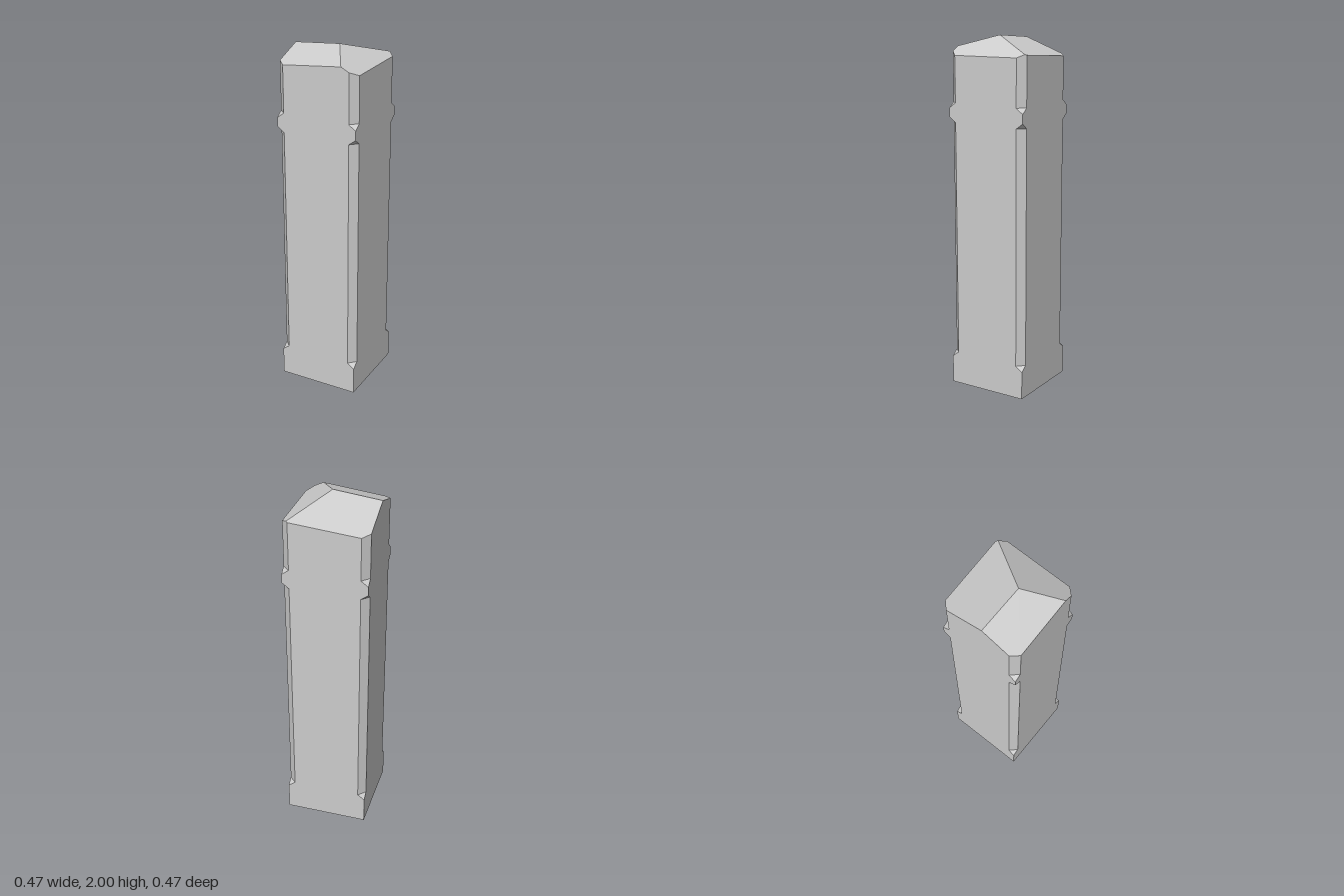
import * as THREE from 'three';

const H = 0.235; // half width of the post
const K = 0.195; // where the corner chamfer starts

// Outline seen from above, counter-clockwise: [x, z, lies on a corner]
const outline = [
  [-H, K, true], [-K, H, true],
  [0.148, H, false],               // front ridge end
  [K, H, true], [H, K, true],
  [H, -K, true], [0.203, -0.227, true], [K, -H, true], // ridge end on back chamfer
  [-K, -H, true], [-H, -K, true],
  [-H, 0.028, false],              // right-hand ridge end
];

// Three sloping facets meet at the peak; the lowest one is the surface
const PEAK = new THREE.Vector3(0.035, 2, 0.035);
const slopes = [[0.083, 0.366], [0.102, -0.358], [-0.508, -0.013]];
const roofY = (x, z) =>
  2 + Math.min(...slopes.map(([a, b]) => a * (x - PEAK.x) + b * (z - PEAK.z)));

// A ring is either square or chamfered at its corners
function ring(y, square) {
  return outline.map(([x, z, corner]) => (square && corner
    ? new THREE.Vector3(Math.sign(x) * H, y, Math.sign(z) * H)
    : new THREE.Vector3(x, y ?? roofY(x, z), z)));
}

// Non-indexed flat geometry, skipping collapsed triangles
function facets(triangles) {
  const solid = triangles.filter(([a, b, c]) => new THREE.Triangle(a, b, c).getArea() > 1e-7);
  const geometry = new THREE.BufferGeometry().setFromPoints(solid.flat());
  geometry.computeVertexNormals();
  return geometry;
}

function band(lower, upper) {
  return lower.flatMap((a, i) => {
    const j = (i + 1) % lower.length;
    return [[a, lower[j], upper[j]], [a, upper[j], upper[i]]];
  });
}

const fan = (centre, loop) => loop.map((p, i) => [centre, p, loop[(i + 1) % loop.length]]);

export function createModel() {
  const group = new THREE.Group();
  group.name = 'stonePost';
  const material = new THREE.MeshStandardMaterial({ color: 0xcccccc, flatShading: true });
  const add = (name, triangles) => {
    const mesh = new THREE.Mesh(facets(triangles), material);
    mesh.name = name;
    group.add(mesh);
  };

  // Square foot, chamfered shaft, square collar, chamfered head
  const rings = [
    ring(0, true), ring(0.16, true), ring(0.19, false), ring(1.53, false),
    ring(1.56, true), ring(1.61, true), ring(1.64, false), ring(undefined, false),
  ];
  const bands = (from, to) => rings.slice(from, to).flatMap((r, i) => band(r, rings[from + i + 1]));

  add('foot', [...fan(new THREE.Vector3(), [...rings[0]].reverse()), ...bands(0, 2)]);
  add('shaft', bands(2, 3));
  add('collar', bands(3, 6));
  add('head', bands(6, 7));
  add('slopedTop', fan(PEAK, rings[7]));
  return group;
}
